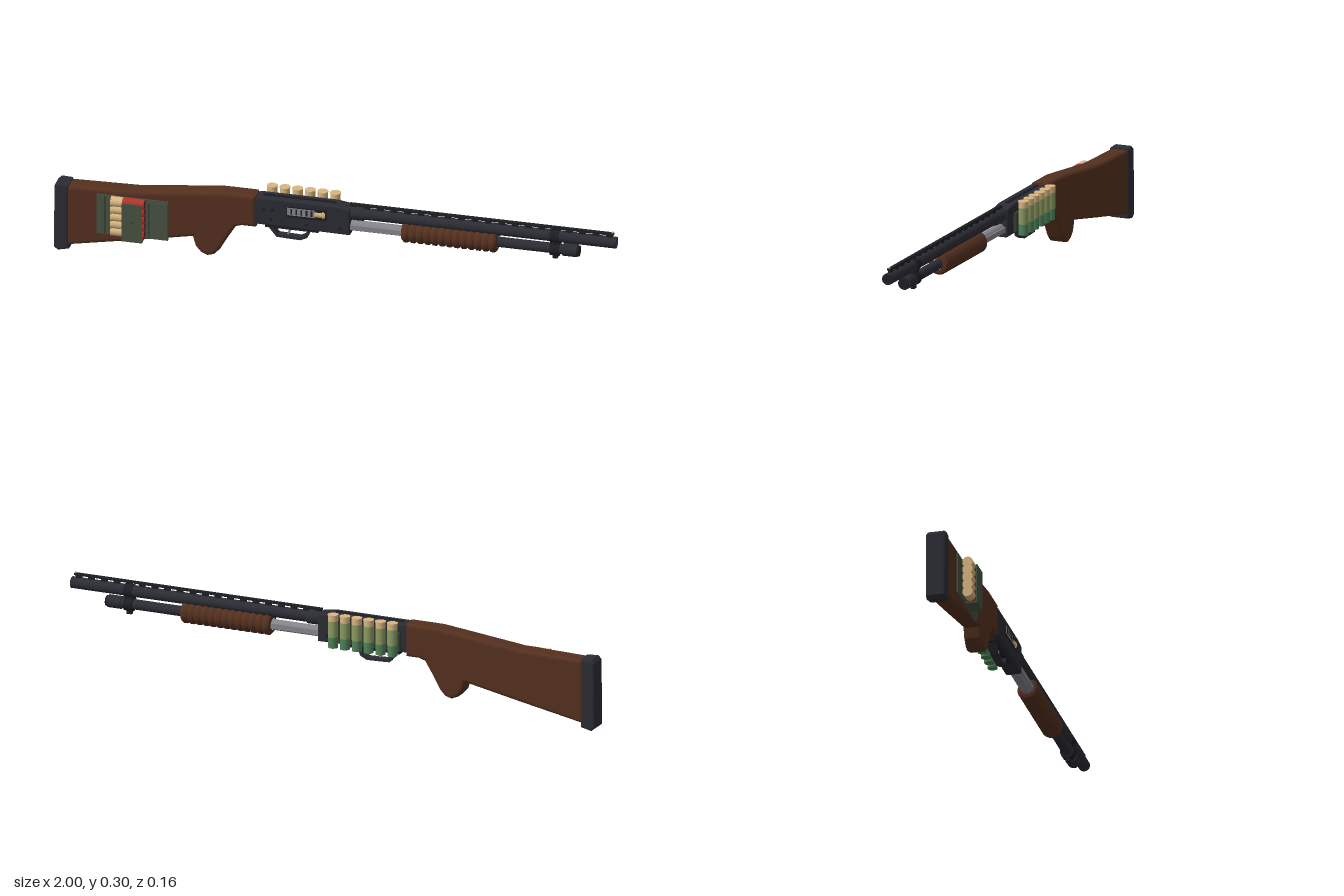
import * as THREE from 'three';

const mat = (name, color) => {
  const m = new THREE.MeshStandardMaterial({ color });
  m.name = name;
  return m;
};

export function createModel() {
  const M = {
    wood: mat('walnut wood', 0x54301f),
    metal: mat('blued metal', 0x2b2c34),
    black: mat('black metal', 0x1d1e23),
    steel: mat('bare steel', 0x85868a),
    brass: mat('brass', 0xd9b681),
    red: mat('red hull', 0xb0352c),
    sage: mat('sage hull', 0x8b9a62),
    green: mat('green hull', 0x4f8258),
    olive: mat('olive fabric', 0x465242),
    darkOlive: mat('dark olive fabric', 0x343e32),
  };
  const root = new THREE.Group();
  root.name = 'shotgun';
  const gun = new THREE.Group();
  gun.name = 'gun';
  gun.position.z = -0.003;
  root.add(gun);

  const add = (parent, name, geo, material, x = 0, y = 0, z = 0) => {
    const m = new THREE.Mesh(geo, material);
    m.name = name;
    m.position.set(x, y, z);
    parent.add(m);
    return m;
  };
  // box given by its limits
  const box = (parent, name, material, x0, x1, y0, y1, z0, z1) =>
    add(parent, name, new THREE.BoxGeometry(x1 - x0, y1 - y0, z1 - z0), material,
      (x0 + x1) / 2, (y0 + y1) / 2, (z0 + z1) / 2);
  // cylinder along x
  const rod = (parent, name, material, x0, x1, y, z, r, seg = 24) => {
    const g = new THREE.CylinderGeometry(r, r, x1 - x0, seg);
    g.rotateZ(-Math.PI / 2);
    return add(parent, name, g, material, (x0 + x1) / 2, y, z);
  };
  // side profile extruded across z with softened edges
  const slab = (parent, name, material, pts, width, bevel, hole) => {
    const s = new THREE.Shape(pts.map(p => new THREE.Vector2(...p)));
    if (hole) s.holes.push(new THREE.Path(hole.map(p => new THREE.Vector2(...p))));
    const g = new THREE.ExtrudeGeometry(s, {
      depth: width - 2 * bevel, bevelEnabled: bevel > 0, bevelSize: bevel,
      bevelThickness: bevel, bevelOffset: -bevel, bevelSegments: 3,
    });
    g.translate(0, 0, -width / 2 + bevel);
    return add(parent, name, g, material);
  };

  // stock with pistol grip, and recoil pad
  slab(gun, 'stock', M.wood, [
    [-0.955, 0.025], [-0.72, 0.07], [-0.505, 0.113], [-0.495, 0.078], [-0.475, 0.055],
    [-0.452, 0.046], [-0.428, 0.053], [-0.408, 0.075], [-0.378, 0.128], [-0.352, 0.17],
    [-0.33, 0.177], [-0.28, 0.177], [-0.28, 0.297], [-0.4, 0.297], [-0.5, 0.286], [-0.71, 0.262], [-0.955, 0.256],
  ], 0.068, 0.013);
  slab(gun, 'recoilPad', M.metal, [
    [-0.985, 0.003], [-0.945, 0.012], [-0.945, 0.26], [-0.985, 0.262], [-0.997, 0.25], [-1, 0.015],
  ], 0.072, 0.009);

  // receiver
  slab(gun, 'receiver', M.metal, [
    [-0.288, 0.19], [0.055, 0.186], [0.055, 0.285], [0.0, 0.293], [-0.27, 0.293], [-0.288, 0.288],
  ], 0.059, 0.006);
  box(gun, 'triggerHousing', M.black, -0.25, -0.06, 0.176, 0.195, -0.016, 0.016);
  box(gun, 'topGroove', M.black, -0.26, 0.0, 0.292, 0.296, -0.006, 0.006);
  // ejection port with bolt and chambered shell
  box(gun, 'ejectionPort', M.black, -0.172, -0.025, 0.231, 0.273, 0.029, 0.0305);
  box(gun, 'bolt', M.steel, -0.167, -0.07, 0.24, 0.268, 0.03, 0.032);
  for (let i = 0; i < 5; i++)
    box(gun, 'boltSlot', M.black, -0.155 + i * 0.018, -0.149 + i * 0.018, 0.244, 0.265, 0.0315, 0.033);
  rod(gun, 'chamberedShell', M.brass, -0.07, -0.032, 0.252, 0.019, 0.015);
  rod(gun, 'chamberedShellRim', M.brass, -0.042, -0.036, 0.252, 0.019, 0.017);
  for (const [x, y] of [[-0.25, 0.25], [-0.22, 0.25], [-0.225, 0.215], [-0.1, 0.208], [0.02, 0.21]])
    for (const s of [1, -1]) {
      const g = new THREE.CylinderGeometry(0.006, 0.006, 0.003, 12);
      g.rotateX(Math.PI / 2);
      add(gun, 'receiverPin', g, M.black, x, y, s * 0.03);
    }
  // trigger and guard
  slab(gun, 'triggerGuard', M.metal,
    [[-0.245, 0.185], [-0.21, 0.141], [-0.125, 0.138], [-0.1, 0.15], [-0.085, 0.185]], 0.026, 0,
    [[-0.226, 0.178], [-0.205, 0.151], [-0.127, 0.148], [-0.11, 0.156], [-0.1, 0.178]]);
  slab(gun, 'trigger', M.steel,
    [[-0.172, 0.18], [-0.158, 0.18], [-0.16, 0.167], [-0.168, 0.152], [-0.175, 0.152], [-0.169, 0.167]], 0.01, 0);

  // barrel, hollow at the muzzle
  const barrel = new THREE.LatheGeometry([
    [0, 0.9], [0.015, 0.9], [0.015, 1], [0.0205, 1], [0.0205, 0.1], [0.025, 0.1], [0.025, 0.04],
  ].map(p => new THREE.Vector2(...p)).reverse(), 28);
  barrel.rotateZ(-Math.PI / 2);
  const barrelMat = M.metal;
  barrel.computeVertexNormals();
  add(gun, 'barrel', barrel, barrelMat, 0, 0.2625, 0);
  rod(gun, 'bore', M.black, 0.97, 0.995, 0.2625, 0, 0.0155);
  // ventilated rib and bead sight
  box(gun, 'rib', M.black, 0.05, 0.99, 0.291, 0.298, -0.007, 0.007);
  for (let i = 0; i < 20; i++) {
    const x = 0.062 + i * 0.048;
    box(gun, 'ribPost', M.black, x - 0.011, x + 0.011, 0.278, 0.292, -0.005, 0.005);
  }
  add(gun, 'beadSight', new THREE.SphereGeometry(0.004, 10, 8), M.brass, 0.985, 0.3, 0);

  // magazine tube, action bars and cap
  rod(gun, 'magazineTube', M.metal, 0.05, 0.83, 0.214, 0, 0.018);
  for (const s of [1, -1])
    box(gun, 'actionBar', M.steel, 0.05, 0.26, 0.205, 0.223, s * 0.019 - 0.003, s * 0.019 + 0.003);
  rod(gun, 'steelSleeve', M.steel, 0.05, 0.25, 0.214, 0, 0.0187);
  rod(gun, 'magazineCap', M.metal, 0.81, 0.86, 0.214, 0, 0.0225);
  rod(gun, 'magazineCapEnd', M.black, 0.86, 0.868, 0.214, 0, 0.019);
  // clamp joining barrel and tube
  rod(gun, 'barrelClamp', M.black, 0.765, 0.797, 0.2625, 0, 0.0235);
  rod(gun, 'tubeClamp', M.black, 0.765, 0.797, 0.214, 0, 0.025);
  box(gun, 'clampBridge', M.black, 0.765, 0.797, 0.225, 0.255, -0.014, 0.014);
  box(gun, 'clampLug', M.black, 0.772, 0.79, 0.178, 0.195, -0.007, 0.007);

  // ribbed pump handle
  const profile = [new THREE.Vector2(0.02, 0.237), new THREE.Vector2(0.031, 0.238)];
  const ribs = 13, step = 0.336 / ribs;
  for (let i = 0; i < ribs; i++) {
    const x = 0.24 + i * step;
    for (const [r, t] of [[0.0345, 0.05], [0.0395, 0.25], [0.0395, 0.7], [0.0345, 0.92]])
      profile.push(new THREE.Vector2(r, x + t * step));
  }
  profile.push(new THREE.Vector2(0.031, 0.577), new THREE.Vector2(0.02, 0.578));
  const pump = new THREE.LatheGeometry(profile, 28);
  pump.rotateZ(-Math.PI / 2);
  add(gun, 'pumpHandle', pump, M.wood, 0, 0.2145, 0).scale.z = 0.97;

  // side carrier with six upright spare shells
  box(root, 'shellCarrier', M.darkOlive, -0.262, 0.004, 0.195, 0.262, -0.043, -0.03);
  for (let i = 0; i < 6; i++) {
    const shell = new THREE.Group();
    shell.name = 'sideShell';
    shell.position.set(-0.242 + i * 0.045, 0, -0.06);
    root.add(shell);
    const part = (name, m, y0, y1, r) =>
      add(shell, name, new THREE.CylinderGeometry(r, r, y1 - y0, 20), m, 0, (y0 + y1) / 2, 0);
    part('hullTip', M.green, 0.183, 0.222, 0.0175);
    part('hull', M.sage, 0.222, 0.28, 0.0178);
    part('brassHead', M.brass, 0.28, 0.301, 0.018);
    part('rim', M.brass, 0.3, 0.303, 0.019);
  }

  // stock pouch with five shells lying lengthwise
  const pouch = new THREE.Group();
  pouch.name = 'stockPouch';
  root.add(pouch);
  box(pouch, 'pouchBacking', M.olive, -0.845, -0.59, 0.091, 0.24, 0.028, 0.037);
  box(pouch, 'pouchFlap', M.olive, -0.665, -0.592, 0.1, 0.232, 0.036, 0.041);
  box(pouch, 'flapSeam', M.darkOlive, -0.66, -0.655, 0.1, 0.232, 0.04, 0.042);
  box(pouch, 'leftSeam', M.darkOlive, -0.818, -0.813, 0.095, 0.236, 0.036, 0.0385);
  box(pouch, 'elasticBand', M.olive, -0.745, -0.672, 0.095, 0.236, 0.074, 0.079);
  box(pouch, 'bandBottom', M.olive, -0.745, -0.672, 0.091, 0.097, 0.036, 0.079);
  box(pouch, 'bandStitch', M.darkOlive, -0.712, -0.706, 0.16, 0.17, 0.078, 0.0795);
  for (let i = 0; i < 5; i++) {
    const y = 0.117 + i * 0.0282;
    rod(pouch, 'pouchShellHull', M.red, -0.745, -0.668, y, 0.055, 0.0182, 20);
    rod(pouch, 'pouchShellHead', M.brass, -0.782, -0.745, y, 0.055, 0.0182, 20);
    rod(pouch, 'pouchShellRim', M.brass, -0.787, -0.782, y, 0.055, 0.019, 20);
    // crimp folds on the hull end
    for (let k = 0; k < 3; k++) {
      const fold = add(pouch, 'crimpFold', new THREE.BoxGeometry(0.001, 0.022, 0.0012), M.black, -0.668, y, 0.055);
      fold.rotation.x = k * Math.PI / 3;
    }
  }
  return root;
}
